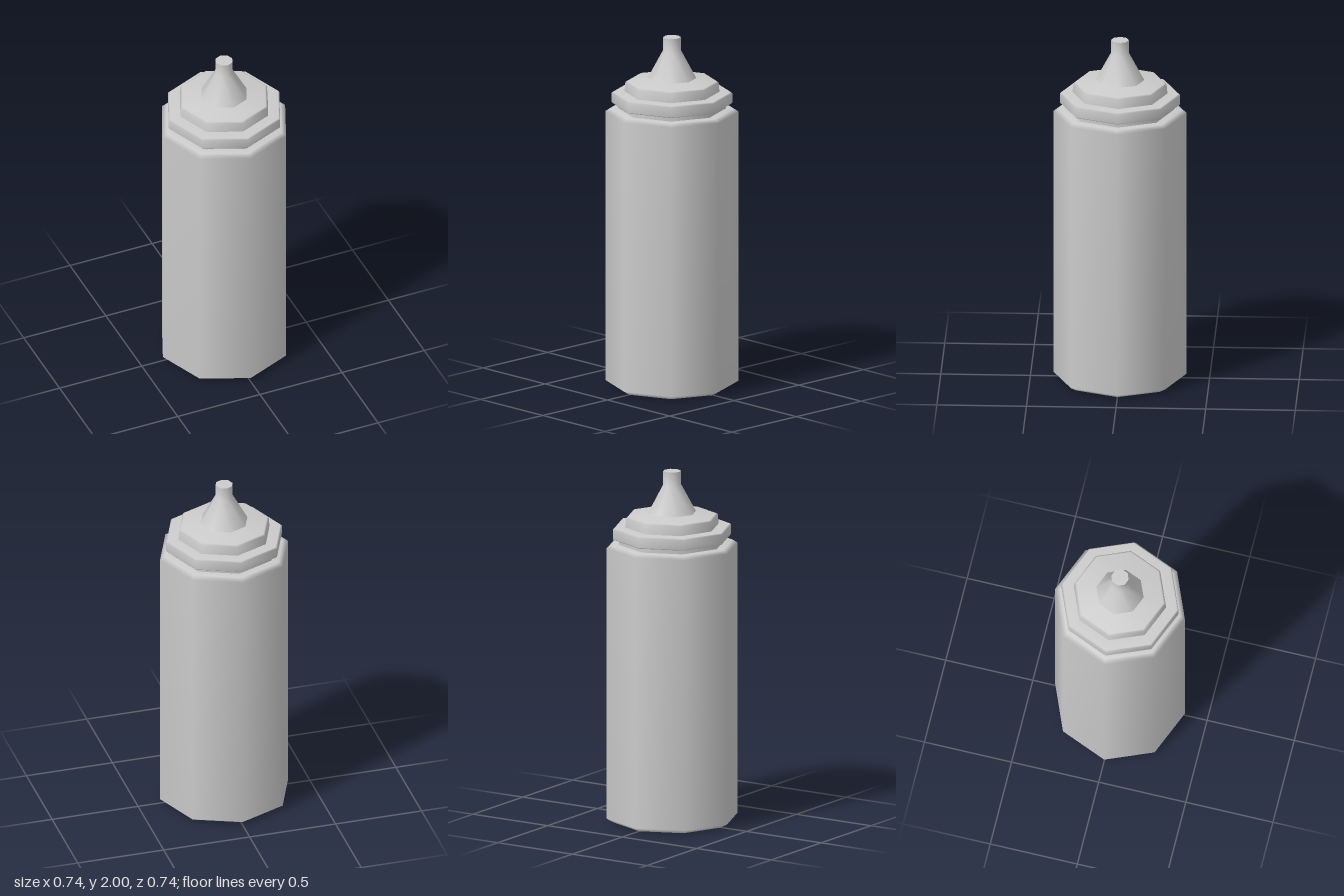
import * as THREE from 'three';

const SIDES = 8;

export function createModel() {
  const bottle = new THREE.Group();
  bottle.name = 'squeezeBottle';
  const plastic = new THREE.MeshStandardMaterial({ color: 0xcccccc });
  plastic.name = 'pale grey plastic';

  // Each profile is one smooth run of [radius, height]; breaks between runs stay sharp.
  const addPart = (name, ...profiles) => {
    const part = new THREE.Group();
    part.name = name;
    for (const profile of profiles) {
      const points = profile.map(([r, y]) => new THREE.Vector2(r, y));
      const mesh = new THREE.Mesh(new THREE.LatheGeometry(points, SIDES), plastic);
      mesh.name = name + 'Surface';
      part.add(mesh);
    }
    bottle.add(part);
  };

  // Bottle body with bevelled rims and a flat base
  addPart('body',
    [[0, 0], [0.33, 0]],
    [[0.33, 0], [0.372, 0.025], [0.372, 1.572], [0.345, 1.59], [0.29, 1.59]]);

  // Recessed neck
  addPart('neck', [[0.3, 1.585], [0.3, 1.625]]);

  // Cap flange
  addPart('capFlange',
    [[0.29, 1.618], [0.33, 1.618]],
    [[0.33, 1.618], [0.336, 1.624], [0.336, 1.678], [0.328, 1.685], [0.25, 1.687]]);

  // Raised cap with a gently sloping top
  addPart('capTop', [[0.265, 1.685], [0.26, 1.74], [0.25, 1.747], [0.12, 1.767]]);

  // Conical nozzle and flat tip
  addPart('nozzle',
    [[0.137, 1.762], [0.05, 1.925], [0.05, 2]],
    [[0.05, 2], [0, 2]]);

  return bottle;
}
